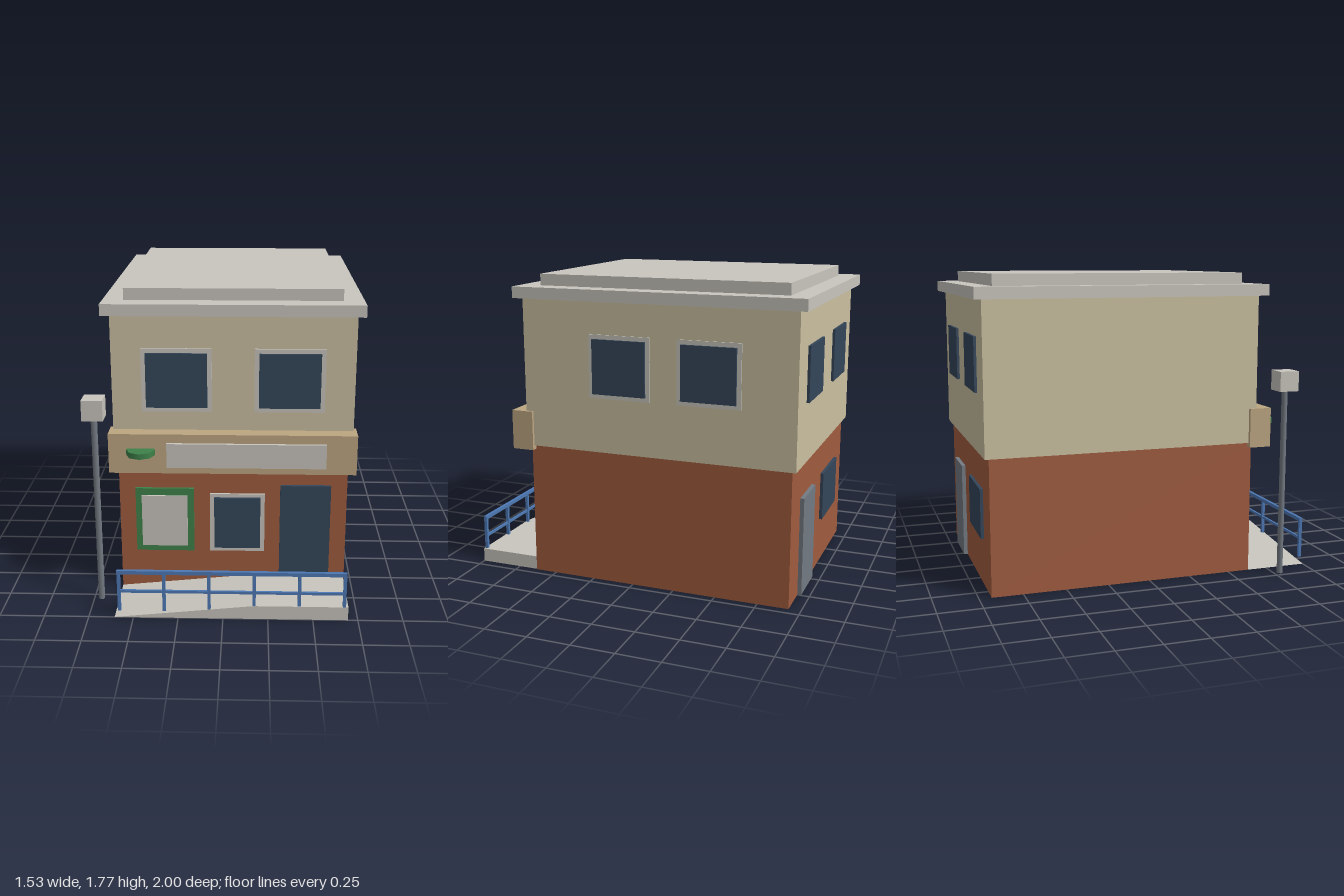
import * as THREE from 'three';

const mat = (name, color) => Object.assign(new THREE.MeshStandardMaterial({ color }), { name });

export function createModel() {
  const brick = mat('brick', 0xa05c3f);
  const plaster = mat('plaster', 0xcabfa0);
  const stone = mat('stone', 0xc8c5bd);
  const fascia = mat('fascia', 0xbda682);
  const glass = mat('dark glass', 0x34465a);
  const green = mat('green', 0x3e824a);
  const blue = mat('railing blue', 0x4d78b4);
  const steel = mat('steel', 0x737a82);

  const root = new THREE.Group();
  root.name = 'cornerShop';

  const add = (name, geometry, material, parent = root) => {
    const mesh = new THREE.Mesh(geometry, material);
    mesh.name = name;
    parent.add(mesh);
    return mesh;
  };
  // Box given by its extents on each axis
  const box = (name, material, [x0, x1], [y0, y1], [z0, z1], parent = root) => {
    const mesh = add(name, new THREE.BoxGeometry(x1 - x0, y1 - y0, z1 - z0), material, parent);
    mesh.position.set((x0 + x1) / 2, (y0 + y1) / 2, (z0 + z1) / 2);
    return mesh;
  };

  // Storeys and roof
  box('groundFloor', brick, [-0.605, 0.7], [0, 0.785], [-0.93, 0.63]);
  box('upperFloor', plaster, [-0.625, 0.72], [0.785, 1.645], [-0.955, 0.65]);
  box('cornice', stone, [-0.67, 0.76], [1.645, 1.71], [-1, 0.693]);
  box('roofSlab', stone, [-0.555, 0.645], [1.71, 1.775], [-0.883, 0.573]);

  // Shop fascia with blank panel and small eight-sided bracket
  box('fasciaBoard', fascia, [-0.645, 0.737], [0.76, 0.99], [0.605, 0.735]);
  box('fasciaPanel', stone, [-0.32, 0.567], [0.8, 0.94], [0.73, 0.752]);
  const disc = add('greenBracket', new THREE.CylinderGeometry(0.08, 0.08, 0.032, 8), green);
  disc.position.set(-0.463, 0.891, 0.75);

  // Upper windows: framed on the front and +x side, plain at the back
  for (const x of [-0.265, 0.36]) {
    box('frontWindowFrame', stone, [x - 0.195, x + 0.195], [1.1, 1.46], [0.64, 0.661]);
    box('frontWindow', glass, [x - 0.17, x + 0.17], [1.125, 1.435], [0.65, 0.673]);
    box('backWindow', glass, [x - 0.17, x + 0.17], [1.125, 1.435], [-0.97, -0.95]);
  }
  for (const z of [0.058, -0.465]) {
    box('sideWindowFrame', stone, [0.71, 0.727], [1.1, 1.46], [z - 0.183, z + 0.183]);
    box('sideWindow', glass, [0.72, 0.74], [1.125, 1.435], [z - 0.158, z + 0.158]);
  }

  // Ground floor openings
  box('displayFrame', green, [-0.512, -0.177], [0.24, 0.63], [0.62, 0.646]);
  box('displayPanel', stone, [-0.477, -0.214], [0.275, 0.588], [0.63, 0.656]);
  box('shopWindowFrame', stone, [-0.085, 0.23], [0.24, 0.598], [0.62, 0.643]);
  box('shopWindow', glass, [-0.06, 0.205], [0.265, 0.578], [0.63, 0.658]);
  box('frontDoor', glass, [0.318, 0.607], [0.08, 0.654], [0.62, 0.65]);
  box('backDoor', steel, [0.223, 0.5], [0.002, 0.575], [-0.953, -0.92]);
  box('backShopWindow', glass, [-0.4, -0.017], [0.28, 0.57], [-0.948, -0.92]);

  // Entrance ramp rising to a level landing
  const profile = new THREE.Shape([
    [-0.605, 0], [0.695, 0], [0.695, 0.08], [0.17, 0.08],
  ].map(([x, y]) => new THREE.Vector2(x, y)));
  const ramp = add('entranceRamp',
    new THREE.ExtrudeGeometry(profile, { depth: 0.37, bevelEnabled: false }), stone);
  ramp.position.z = 0.63;

  // Railing
  const railing = new THREE.Group();
  railing.name = 'railing';
  root.add(railing);
  box('topRail', blue, [-0.587, 0.682], [0.265, 0.286], [0.979, 0.999], railing);
  box('midRail', blue, [-0.58, 0.675], [0.151, 0.166], [0.983, 0.996], railing);
  for (let i = 0; i < 6; i++) {
    const x = -0.577 + i * 0.25;
    box('railPost', blue, [x - 0.009, x + 0.009], [0.04, 0.28], [0.98, 0.998], railing);
  }

  // Street lamp
  const pole = add('lampPole', new THREE.CylinderGeometry(0.018, 0.018, 1.1, 8), steel);
  pole.position.set(-0.708, 0.55, 0.788);
  box('lampHead', stone, [-0.766, -0.65], [1.1, 1.216], [0.73, 0.846]);

  return root;
}
